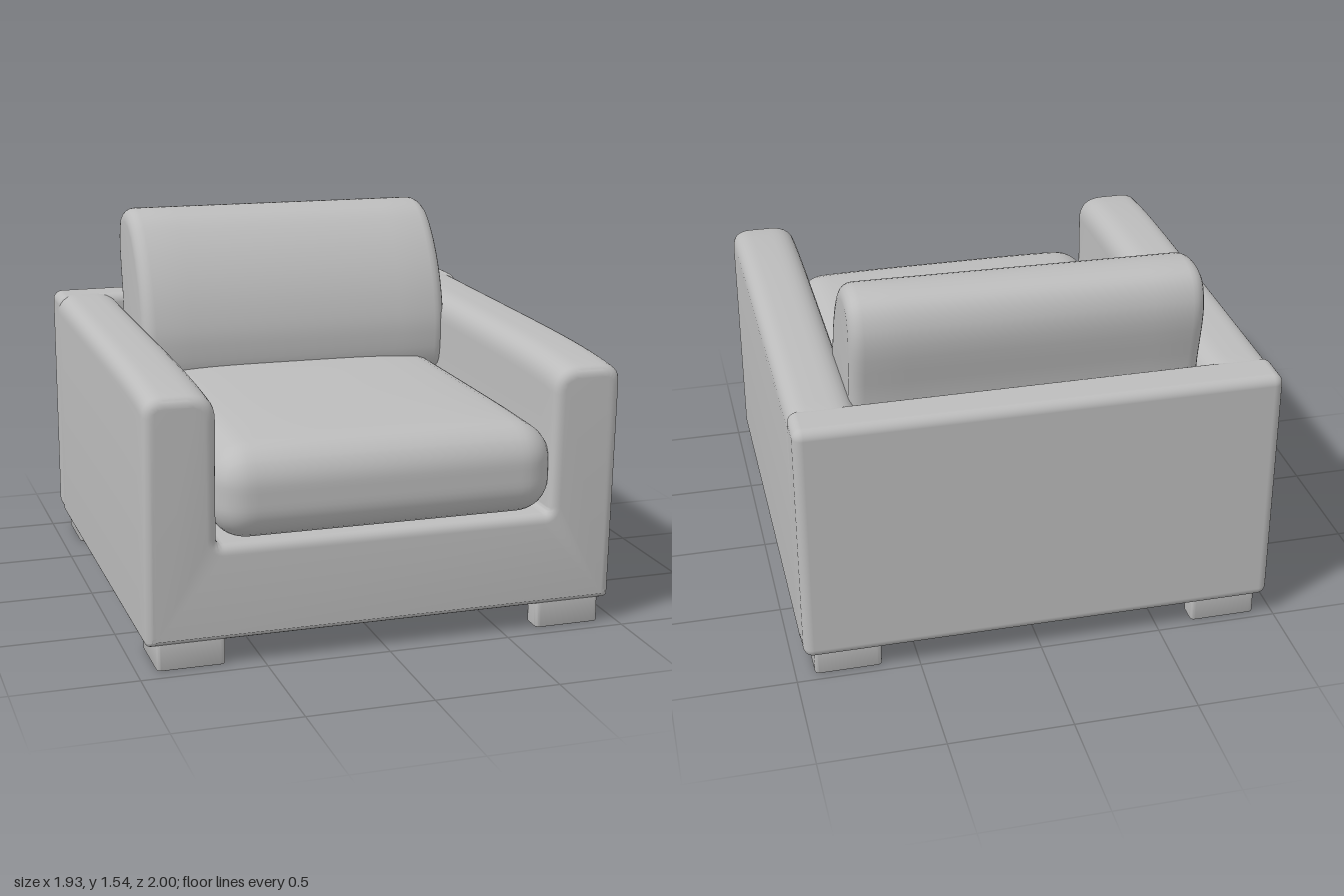
import * as THREE from 'three';
import { mergeVertices, toCreasedNormals } from 'three/addons/utils/BufferGeometryUtils.js';
import { RoundedBoxGeometry } from 'three/addons/geometries/RoundedBoxGeometry.js';

// Closed polygon of [x, y, radius] corners, each softened by a curve
function roundedShape(corners) {
  const shape = new THREE.Shape();
  const n = corners.length;
  corners.forEach(([x, y, r], i) => {
    const p = new THREE.Vector2(x, y);
    const towards = (c) => new THREE.Vector2(c[0], c[1]).sub(p).setLength(r).add(p);
    const a = towards(corners[(i + n - 1) % n]);
    const b = towards(corners[(i + 1) % n]);
    if (i === 0) shape.moveTo(a.x, a.y);
    else shape.lineTo(a.x, a.y);
    shape.quadraticCurveTo(x, y, b.x, b.y);
  });
  shape.closePath();
  return shape;
}

// Extrusion of total length `depth` whose end edges are rounded inwards
function softExtrude(shape, depth, bevel, steps = 1) {
  return new THREE.ExtrudeGeometry(shape, {
    depth: depth - 2 * bevel, steps, curveSegments: 8,
    bevelThickness: bevel, bevelSize: bevel, bevelOffset: -bevel, bevelSegments: 5,
  }).translate(0, 0, bevel);
}

// Move every vertex by a rule
function warp(geometry, rule) {
  const pos = geometry.attributes.position;
  const v = new THREE.Vector3();
  for (let i = 0; i < pos.count; i++) {
    v.fromBufferAttribute(pos, i);
    rule(v);
    pos.setXYZ(i, v.x, v.y, v.z);
  }
  return geometry;
}

// Smooth rounded pad with finely divided faces and a crowned top
function padGeometry(w, h, d, r, crown) {
  let g = new THREE.BoxGeometry(w, h, d, 44, 16, 44);
  g.deleteAttribute('normal');
  g.deleteAttribute('uv');
  g = mergeVertices(g);
  const inner = new THREE.Vector3(w / 2 - r, h / 2 - r, d / 2 - r);
  const low = inner.clone().negate();
  warp(g, (v) => {
    const core = v.clone().clamp(low, inner);
    v.sub(core).setLength(r).add(core);
    const u = (2 * v.x) / w;
    const t = (2 * v.z) / d;
    if (v.y > 0) v.y += crown * (v.y / (h / 2)) * (1 - u ** 4) * (1 - t ** 4);
  });
  g.computeVertexNormals();
  return g;
}

export function createModel() {
  const group = new THREE.Group();
  const fabric = new THREE.MeshStandardMaterial({ color: 0xbcbcbc });
  fabric.name = 'greyFabric';

  const add = (name, geometry) => {
    const mesh = new THREE.Mesh(geometry, fabric);
    mesh.name = name;
    group.add(mesh);
    return mesh;
  };

  // Base and both arms: one U-shaped section run from back to front
  const section = roundedShape([
    [-0.965, 0.1, 0.025], [0.965, 0.1, 0.025],
    [0.965, 1.135, 0.08], [0.685, 1.135, 0.11],
    [0.685, 0.49, 0.03], [-0.685, 0.49, 0.03],
    [-0.685, 1.135, 0.11], [-0.965, 1.135, 0.08],
  ]);
  const frame = softExtrude(section, 1.87, 0.04, 20).translate(0, 0, -0.9);
  warp(frame, (v) => {
    const t = (v.z + 0.9) / 1.87;
    const rise = Math.max(0, (v.y - 0.5) / 0.63);
    // arm tops dip towards the front, and the front leans out slightly
    v.y -= rise * (0.02 * t + 0.03 * t ** 8);
    v.z += 0.035 * (v.y - 0.6) * Math.max(0, t);
  });
  add('baseAndArms', toCreasedNormals(frame, 0.5));

  // Back panel
  add('backPanel', new RoundedBoxGeometry(1.93, 1.035, 0.19, 5, 0.04))
    .position.set(0, 0.6175, -0.905);

  // Seat cushion
  add('seatCushion', padGeometry(1.395, 0.36, 1.8, 0.14, 0.035))
    .position.set(0.007, 0.67, 0.095);

  // Back cushion: leaning side profile, run across the width
  const profile = [
    [0.84, 1.4], [0.79, 1.51], [0.68, 1.54], [0.56, 1.51], [0.46, 1.42], [0.37, 1.28],
    [0.315, 1.13], [0.295, 0.98], [0.33, 0.82], [0.5, 0.78], [0.74, 0.8], [0.8, 1.13],
  ].map(([z, y]) => new THREE.Vector2(z, y));
  const curve = new THREE.CatmullRomCurve3(
    profile.map((p) => new THREE.Vector3(p.x, p.y, 0)), true);
  const outline = new THREE.Shape(
    curve.getPoints(60).slice(0, -1).map((p) => new THREE.Vector2(p.x, p.y)));
  const cushion = softExtrude(outline, 1.39, 0.055, 8);
  cushion.rotateY(Math.PI / 2).translate(-0.68, 0, 0);
  warp(cushion, (v) => { v.z += 0.025 * v.x; });
  add('backCushion', toCreasedNormals(cushion, 0.5));

  // Four L-shaped corner feet, mirrored from one layout
  for (const sx of [-1, 1]) {
    for (const sz of [-1, 1]) {
      const x = sx * 0.922;
      const z = sz > 0 ? 0.935 : -0.965;
      const at = (dx, dz, r) => [x - sx * dx, -(z - sz * dz), r];
      const corners = [
        at(0, 0, 0.02), at(0.272, 0, 0.02), at(0.272, 0.1, 0.02),
        at(0.1, 0.1, 0.03), at(0.1, 0.268, 0.02), at(0, 0.268, 0.02),
      ];
      const foot = softExtrude(roundedShape(corners), 0.115, 0.005);
      foot.rotateX(-Math.PI / 2);
      add((sz > 0 ? 'front' : 'back') + (sx > 0 ? 'Left' : 'Right') + 'Foot',
        toCreasedNormals(foot, 0.5));
    }
  }

  return group;
}
